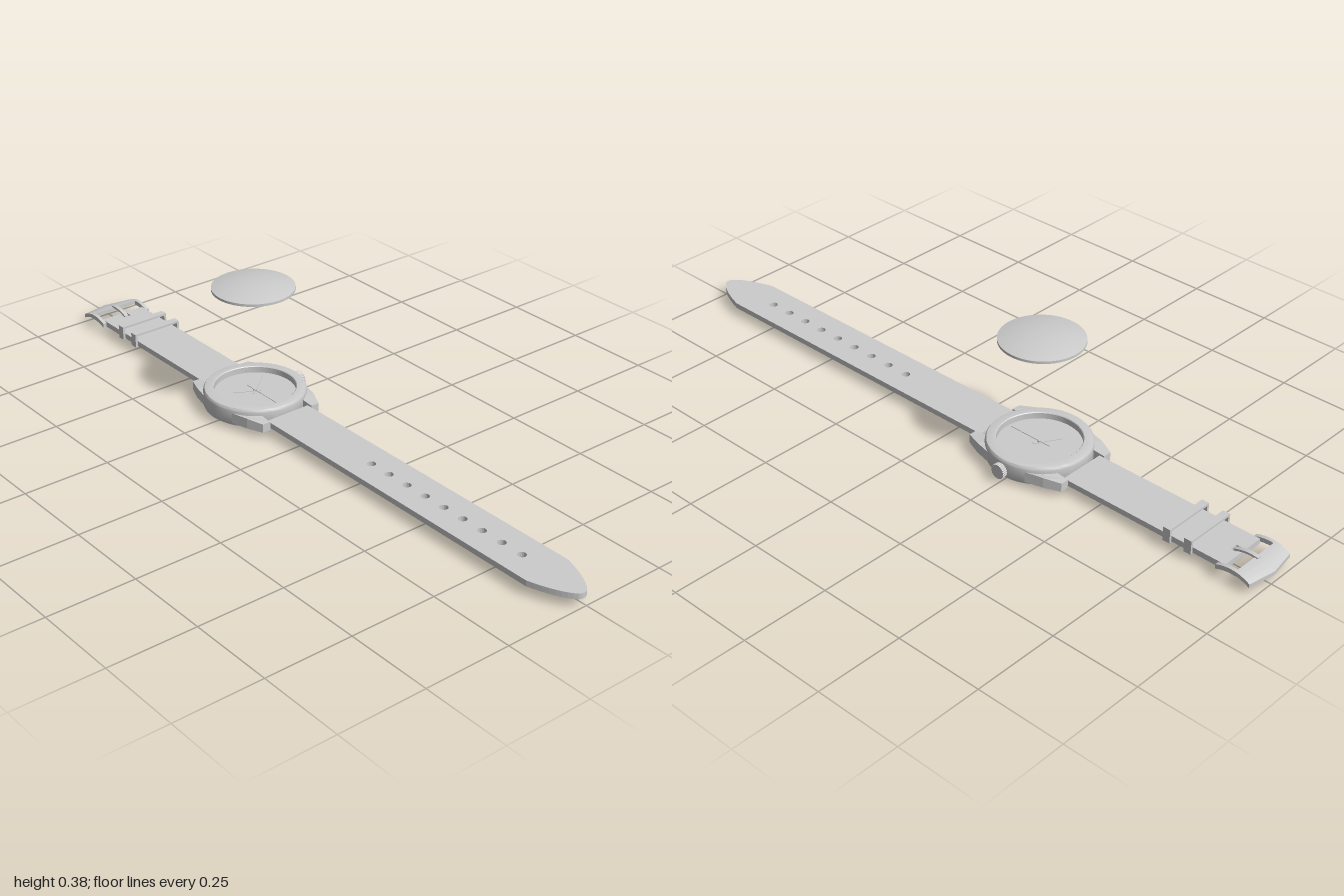
import * as THREE from 'three';
import { toCreasedNormals } from 'three/addons/utils/BufferGeometryUtils.js';

const mat = new THREE.MeshStandardMaterial({ color: 0xcccccc });
const V = (x, y) => new THREE.Vector2(x, y);

function add(parent, name, geo, x = 0, y = 0, z = 0) {
  const m = new THREE.Mesh(geo, mat);
  m.name = name;
  m.position.set(x, y, z);
  parent.add(m);
  return m;
}

const lathe = (pts, seg = 64) =>
  toCreasedNormals(new THREE.LatheGeometry(pts.map(p => V(...p)), seg), 0.5);

// Plan outline (x, z) turned into a slab between two heights
function slab(shape, bottom, top, curveSegments = 12) {
  const g = new THREE.ExtrudeGeometry(shape, { depth: top - bottom, bevelEnabled: false, curveSegments });
  g.rotateX(Math.PI / 2);
  return g.translate(0, top, 0);
}

// Side profile (-z, y) swept along x, centred on x = 0
function sweepX(shape, width, steps = 1) {
  const g = new THREE.ExtrudeGeometry(shape, { depth: width, steps, bevelEnabled: false });
  g.rotateY(Math.PI / 2);
  return g.translate(-width / 2, 0, 0);
}

function rectShape(x0, y0, x1, y1, Type = THREE.Shape) {
  return new Type([V(x0, y0), V(x1, y0), V(x1, y1), V(x0, y1)]);
}

// Arched strip between two distances along -z
function archShape(a, b, thickness) {
  const height = s => 0.048 - 5.5 * (s - 0.932) ** 2 + (s < 0.932 ? 1.2 : 0.2) * (s - 0.932) ** 2;
  const upper = [], lower = [], n = 8;
  for (let i = 0; i <= n; i++) {
    const s = a + (b - a) * i / n;
    upper.push(V(s, height(s)));
    lower.push(V(s, height(s) - thickness));
  }
  return new THREE.Shape([...lower, ...upper.reverse()]);
}

function buildHead() {
  const head = new THREE.Group();
  head.name = 'watchHead';

  // Case with stepped back, rounded bezel and sunken dial
  add(head, 'case', lathe([
    [0, 0.002], [0.097, 0.002], [0.098, 0], [0.106, 0], [0.106, 0.005], [0.128, 0.005],
    [0.128, 0.009], [0.134, 0.009], [0.134, 0.014], [0.141, 0.014], [0.143, 0.018], [0.143, 0.056],
    [0.142, 0.061], [0.139, 0.065], [0.135, 0.066], [0.116, 0.066], [0.114, 0.064], [0.114, 0.047]
  ]));
  add(head, 'dial', lathe([[0.116, 0.047], [0, 0.047]]));

  // Four tapering lugs
  for (const sx of [-1, 1]) for (const sz of [-1, 1]) {
    const outline = [V(0.071, 0.09), V(0.13, 0.055), V(0.115, 0.115), V(0.096, 0.16), V(0.071, 0.16)]
      .map(p => V(p.x * sx, p.y * sz));
    const g = slab(new THREE.Shape(outline), 0.02, 0.05);
    const p = g.attributes.position;
    // upper face slopes down toward the tip
    for (let i = 0; i < p.count; i++) {
      if (p.getY(i) > 0.04 && Math.abs(p.getZ(i)) > 0.15) p.setY(i, 0.045);
    }
    g.computeVertexNormals();
    add(head, 'lug', g);
  }

  // Spring bars between the lugs
  for (const sz of [-1, 1]) {
    add(head, 'springBar', new THREE.CylinderGeometry(0.004, 0.004, 0.15, 10).rotateZ(Math.PI / 2), 0, 0.033, sz * 0.152);
  }

  // Crown with fluted edge
  const crown = new THREE.Shape();
  for (let i = 0; i < 48; i++) {
    const a = i / 48 * Math.PI * 2, r = i % 2 ? 0.0195 : 0.021;
    crown[i ? 'lineTo' : 'moveTo'](Math.cos(a) * r, Math.sin(a) * r);
  }
  add(head, 'crown', sweepX(crown, 0.015), 0.1545, 0.037, 0);
  add(head, 'crownStem', new THREE.CylinderGeometry(0.013, 0.013, 0.02, 20).rotateZ(Math.PI / 2), 0.142, 0.037, 0);

  // Hands: angle clockwise from twelve, length, tail, width, height
  const hands = [
    ['hourHand', -Math.PI / 3, 0.062, 0.018, 0.006, 0.049],
    ['minuteHand', Math.PI / 3.6, 0.097, 0.018, 0.005, 0.051],
    ['secondHand', Math.PI, 0.1, 0.035, 0.0025, 0.053]
  ];
  for (const [name, angle, length, tail, w, y] of hands) {
    const g = new THREE.BoxGeometry(w, 0.0015, length + tail).translate(0, 0, -(length - tail) / 2);
    add(head, name, g, 0, y, 0).rotation.y = -angle;
  }
  add(head, 'handPin', new THREE.CylinderGeometry(0.005, 0.005, 0.009, 16), 0, 0.051, 0);

  // Domed glass floating above the case
  const dome = [[0, 0.36], [0.114, 0.36], [0.114, 0.367]];
  for (let i = 1; i <= 10; i++) {
    const r = 0.114 * (1 - i / 10);
    dome.push([r, 0.367 + 0.015 * (1 - (r / 0.114) ** 2)]);
  }
  add(head, 'glass', lathe(dome));
  return head;
}

function buildStrap() {
  const strap = new THREE.Group();
  strap.name = 'strap';
  const w = 0.07, low = 0.025, high = 0.041;

  // Long piece with curved tip and punched holes
  const long = new THREE.Shape();
  long.moveTo(-w, -0.105);
  long.lineTo(w, -0.105);
  long.lineTo(w, 0.88);
  long.quadraticCurveTo(0.045, 0.965, 0.014, 0.995);
  long.quadraticCurveTo(0, 1.005, -0.014, 0.995);
  long.quadraticCurveTo(-0.045, 0.965, -w, 0.88);
  for (let i = 0; i < 9; i++) {
    const hole = new THREE.Path();
    hole.absarc(0, 0.245 + i * 0.0688, 0.012, 0, Math.PI * 2, true);
    long.holes.push(hole);
  }
  add(strap, 'longStrap', slab(long, low, high, 8));

  // Short piece with a slot for the buckle tongue
  const short = rectShape(-w, -0.905, w, -0.395);
  short.holes.push(rectShape(-0.011, -0.9, 0.011, -0.878, THREE.Path));
  add(strap, 'shortStrap', slab(short, low, high));

  // Two keeper loops
  for (const z of [-0.732, -0.797]) {
    const loop = rectShape(-0.077, 0.022, 0.077, 0.062);
    loop.holes.push(rectShape(-0.07, 0.026, 0.07, 0.056, THREE.Path));
    add(strap, 'keeperLoop', new THREE.ExtrudeGeometry(loop, { depth: 0.022, bevelEnabled: false }), 0, 0, z - 0.011);
  }
  return strap;
}

function buildBuckle() {
  const buckle = new THREE.Group();
  buckle.name = 'buckle';

  // Arched end bar, its outer edge coming to a shallow point
  const g = sweepX(archShape(0.943, 0.986, 0.011), 0.164, 2);
  const p = g.attributes.position;
  for (let i = 0; i < p.count; i++) {
    const k = (-p.getZ(i) - 0.943) / 0.043;
    const mid = 1 - Math.abs(p.getX(i)) / 0.082;
    p.setZ(i, p.getZ(i) - 0.014 * k * mid);
  }
  g.computeVertexNormals();
  add(buckle, 'buckleBar', toCreasedNormals(g, 0.4));

  // Side arms, hinge pin and tongue
  for (const s of [-1, 1]) add(buckle, 'buckleArm', sweepX(archShape(0.885, 0.945, 0.013), 0.011), s * 0.0765);
  add(buckle, 'hingePin', new THREE.CylinderGeometry(0.005, 0.005, 0.154, 12).rotateZ(Math.PI / 2), 0, 0.033, -0.893);
  add(buckle, 'tongue', sweepX(archShape(0.882, 0.953, 0.006), 0.012), 0, 0.004, 0);
  return buckle;
}

export function createModel() {
  const model = new THREE.Group();
  model.name = 'wristwatch';
  const head = buildHead();
  head.position.z = -0.25;
  const body = new THREE.Group();
  body.name = 'watch';
  body.position.x = -0.01;
  body.add(head, buildStrap(), buildBuckle());
  model.add(body);
  return model;
}
